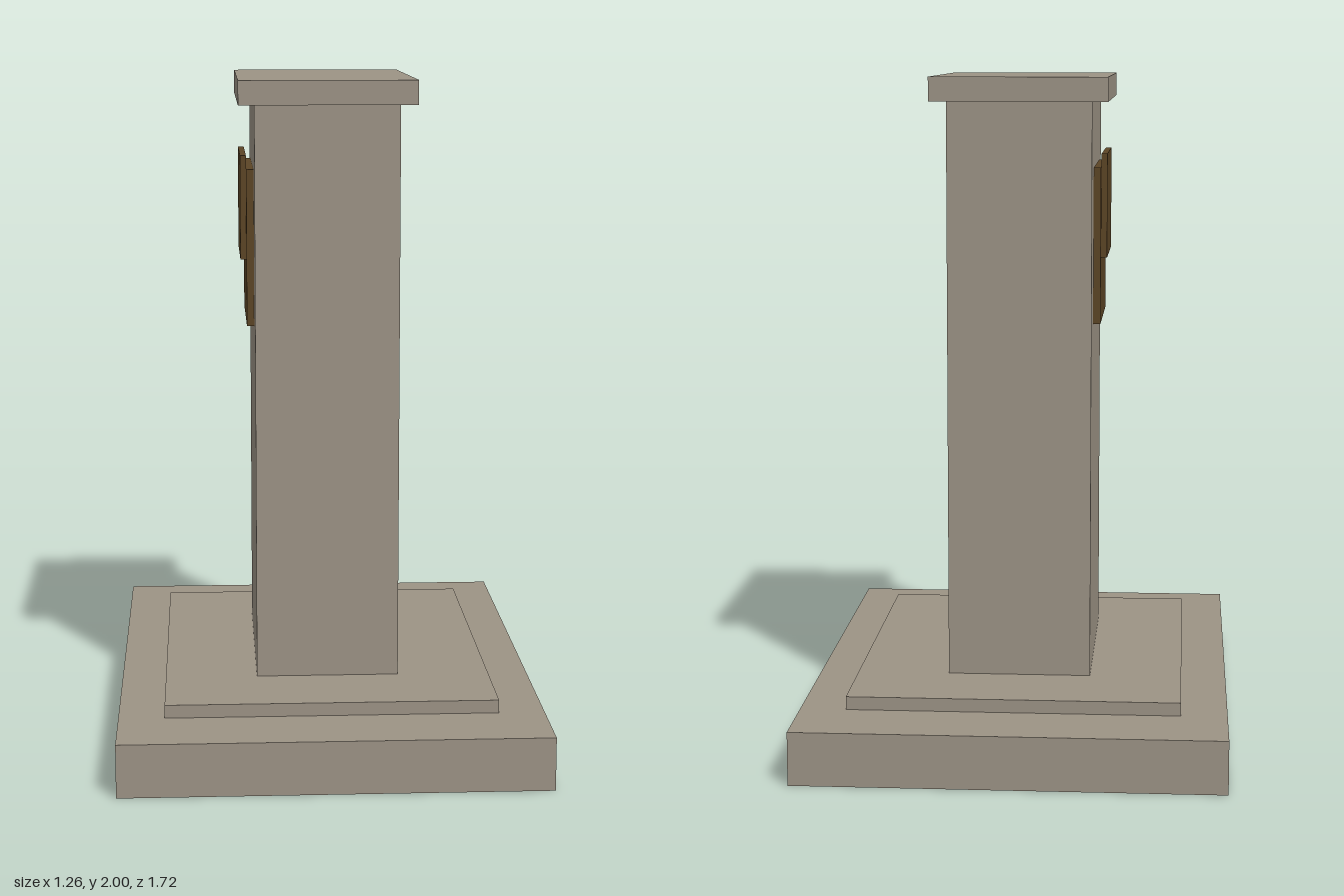
import * as THREE from 'three';

export function createModel() {
  const group = new THREE.Group();

  const stone = new THREE.MeshStandardMaterial({ color: 0x9c9385 });
  stone.name = 'stone';
  const bronze = new THREE.MeshStandardMaterial({ color: 0x5c4526 });
  bronze.name = 'bronze';

  // Box given by its min and max on each axis
  function block(name, material, [x0, x1], [y0, y1], [z0, z1]) {
    const mesh = new THREE.Mesh(new THREE.BoxGeometry(x1 - x0, y1 - y0, z1 - z0), material);
    mesh.position.set((x0 + x1) / 2, (y0 + y1) / 2, (z0 + z1) / 2);
    mesh.name = name;
    group.add(mesh);
  }

  // Stacked stonework
  block('base', stone, [-0.628, 0.628], [0, 0.158], [-0.862, 0.862]);
  block('step', stone, [-0.492, 0.492], [0.158, 0.197], [-0.628, 0.628]);
  block('column', stone, [-0.215, 0.215], [0.197, 1.928], [-0.355, 0.355]);
  block('capstone', stone, [-0.263, 0.263], [1.928, 2], [-0.4, 0.4]);

  // Two overlapping plaques on the -x face
  block('lowerPlaque', bronze, [-0.237, -0.215], [1.257, 1.728], [-0.225, 0.225]);
  block('upperPlaque', bronze, [-0.255, -0.237], [1.455, 1.768], [-0.19, 0.19]);

  return group;
}
